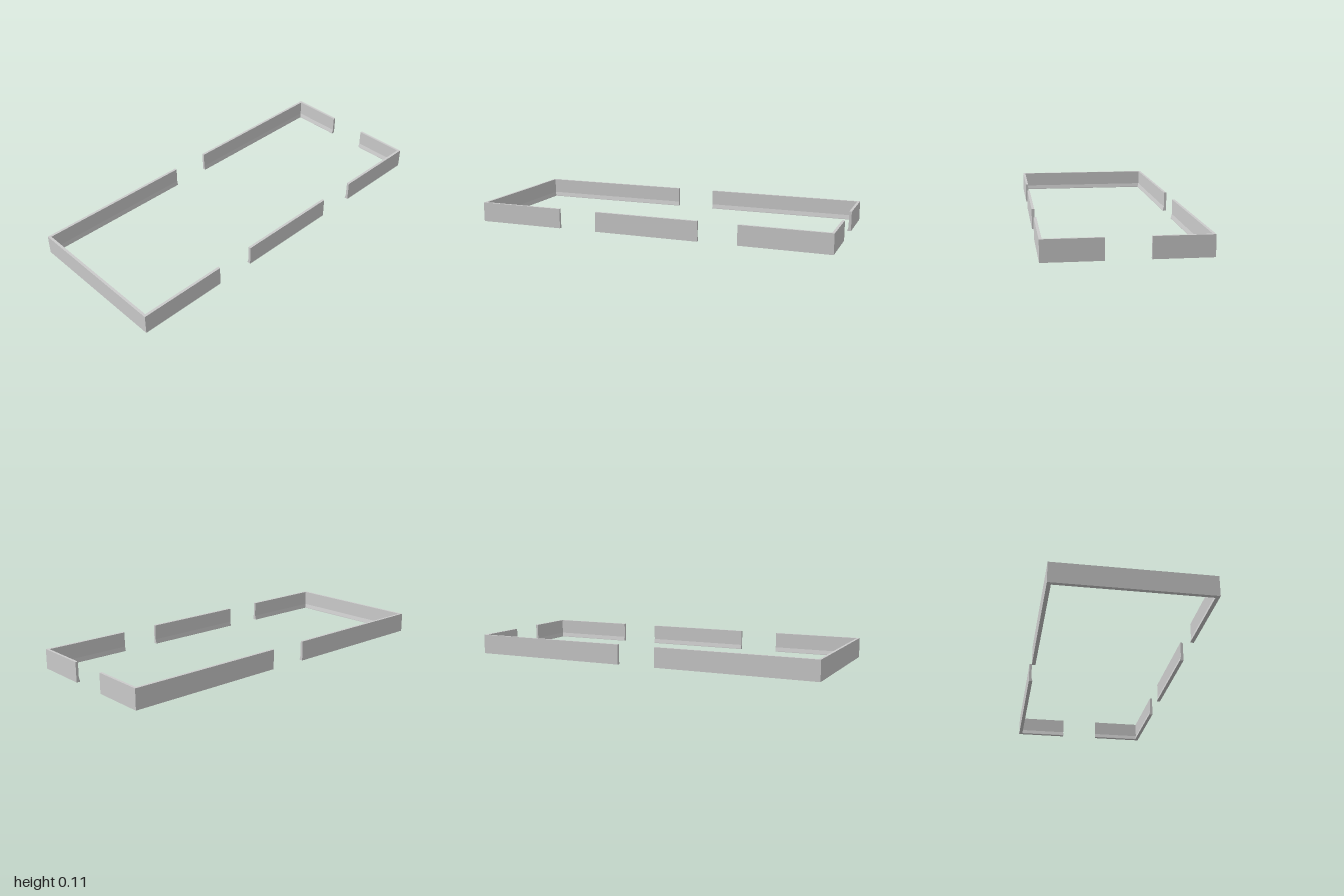
import * as THREE from 'three';

// Skirting cross-section: [distance inward from outer face, height]
const PROFILE = [[0, 0], [0.02, 0], [0.02, 0.003], [0.014, 0.025], [0.014, 0.109], [0, 0.109]];
const X = 1, Z = 0.408;

// Outer-edge runs, each walked with the room interior on the same side
const RUNS = {
  rightCornerWall: [[-0.51, Z], [-X, Z], [-X, -Z], [-0.11, -Z]],
  backLeftCornerWall: [[0.11, -Z], [X, -Z], [X, -0.11]],
  frontLeftCornerWall: [[X, 0.11], [X, Z], [0.51, Z]],
  frontMiddleWall: [[0.293, Z], [-0.293, Z]],
};

// Inward normal of the segment from a to b
function inward(a, b) {
  const dx = b[0] - a[0], dz = b[1] - a[1], l = Math.hypot(dx, dz);
  return [-dz / l, dx / l];
}

// Sweep the profile along a run, with mitred right-angle corners and closed ends
function sweep(run) {
  const last = run.length - 1, n = PROFILE.length;
  const rings = run.map((p, i) => {
    const normals = [];
    if (i > 0) normals.push(inward(run[i - 1], p));
    if (i < last) normals.push(inward(p, run[i + 1]));
    const mx = normals.reduce((s, v) => s + v[0], 0);
    const mz = normals.reduce((s, v) => s + v[1], 0);
    return PROFILE.map(([d, y]) => [p[0] + mx * d, y, p[1] + mz * d]);
  });
  const pos = [];
  const tri = (a, b, c) => pos.push(...a, ...b, ...c);
  for (let i = 0; i < last; i++) {
    for (let j = 0; j < n; j++) {
      const k = (j + 1) % n, r = rings[i], s = rings[i + 1];
      tri(r[j], s[j], s[k]);
      tri(r[j], s[k], r[k]);
    }
  }
  const start = rings[0], end = rings[last];
  for (let j = 1; j < n - 1; j++) {
    tri(start[0], start[j], start[j + 1]);
    tri(end[0], end[j + 1], end[j]);
  }
  const geo = new THREE.BufferGeometry();
  geo.setAttribute('position', new THREE.Float32BufferAttribute(pos, 3));
  geo.computeVertexNormals();
  return geo;
}

export function createModel() {
  const group = new THREE.Group();
  group.name = 'skirtingBoards';
  const material = new THREE.MeshStandardMaterial({ color: 0xcccccc, flatShading: true });
  for (const [name, run] of Object.entries(RUNS)) {
    const mesh = new THREE.Mesh(sweep(run), material);
    mesh.name = name;
    group.add(mesh);
  }
  return group;
}
